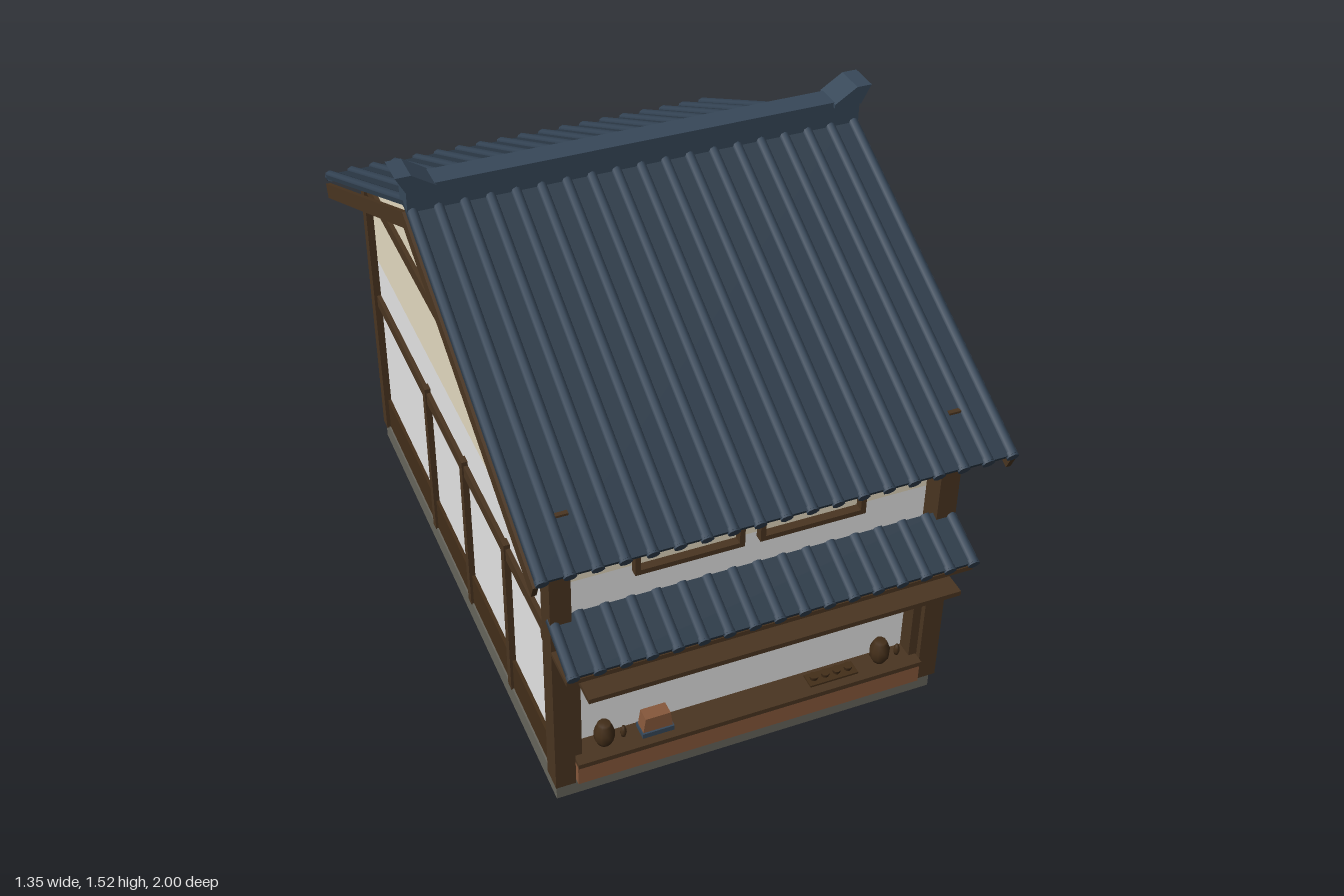
import * as THREE from 'three';

const mat = (name, color) => Object.assign(new THREE.MeshStandardMaterial({ color }), { name });

export function createModel() {
  const ridgeTile = mat('slate blue ridge tile', 0x374859);
  const rollTile = mat('slate blue roll tile', 0x354556);
  const sheetTile = mat('deep blue flat tile', 0x2d3b49);
  const wood = mat('brown timber', 0x4a3521);
  const darkWood = mat('dark timber', 0x432e19);
  const counterWood = mat('red brown wood', 0x87583b);
  const stone = mat('grey stone', 0x67655c);
  const cream = mat('cream plaster', 0xe4dac1);
  const white = mat('white plaster', 0xe5e5e5);
  const underGrey = mat('pale grey underside', 0xcccccc);
  const model = new THREE.Group();
  model.name = 'townhouse';

  const add = (name, geo, m, x = 0, y = 0, z = 0, parent = model) => {
    const mesh = new THREE.Mesh(geo, m);
    mesh.name = name;
    mesh.position.set(x, y, z);
    parent.add(mesh);
    return mesh;
  };
  // Box given by its minimum and maximum on each axis
  const box = (name, m, x0, x1, y0, y1, z0, z1, parent) =>
    add(name, new THREE.BoxGeometry(x1 - x0, y1 - y0, z1 - z0), m,
      (x0 + x1) / 2, (y0 + y1) / 2, (z0 + z1) / 2, parent);
  // Flat outline in x and y, extruded and centred along z
  const prism = (points, depth) => new THREE.ExtrudeGeometry(
    new THREE.Shape(points.map(p => new THREE.Vector2(...p))),
    { depth, bevelEnabled: false }).translate(0, 0, -depth / 2);

  // Foundation and plaster walls
  box('foundation', stone, -0.565, 0.565, 0.003, 0.068, -0.84, 0.84);
  box('underside', underGrey, -0.555, 0.555, 0, 0.006, -0.83, 0.83);
  box('lowerWall', white, -0.55, 0.55, 0.065, 0.73, -0.82, 0.79);
  const gable = [[-0.79, 0.73], [0.82, 0.73], [0.82, 1.015], [0, 1.408], [-0.79, 1.03]];
  add('upperWall', prism(gable, 1.1), cream).rotation.y = Math.PI / 2;
  box('shopTopStrip', cream, -0.49, 0.49, 0.527, 0.57, 0.788, 0.794);

  // Timber frame on both sides
  for (const s of [-1, 1]) {
    const side = new THREE.Group();
    side.name = s > 0 ? 'leftFrame' : 'rightFrame';
    model.add(side);
    const rail = (name, m, inner, outer, y0, y1, z0, z1) =>
      box(name, m, Math.min(s * inner, s * outer), Math.max(s * inner, s * outer), y0, y1, z0, z1, side);
    rail('frontPost', wood, 0.515, 0.572, 0.065, 1.022, 0.79, 0.858);
    rail('backPost', wood, 0.515, 0.572, 0.065, 1.022, -0.842, -0.80);
    rail('shopJamb', wood, 0.49, 0.515, 0.07, 0.58, 0.785, 0.84);
    rail('sideSkirting', darkWood, 0.54, 0.56, 0.065, 0.178, -0.81, 0.80);
    rail('middleBeam', wood, 0.54, 0.563, 0.557, 0.596, -0.81, 0.80);
    rail('upperBeam', wood, 0.54, 0.563, 0.973, 1.013, -0.81, 0.80);
    for (const z of [0.46, 0.09, -0.27]) rail('stud', wood, 0.54, 0.568, 0.065, 0.61, z - 0.014, z + 0.014);
    // Bargeboards under the roof edge
    const barge = [[0, 1.395], [-0.978, 0.928], [-0.96, 0.887], [0, 1.347], [0.96, 0.887], [0.978, 0.928]];
    add('bargeboard', prism(barge, 0.014), wood, s * 0.643, 0, 0, side).rotation.y = Math.PI / 2;
  }

  // Back timbers
  box('backSkirting', darkWood, -0.54, 0.54, 0.065, 0.178, -0.83, -0.81);
  box('backBeam', wood, -0.54, 0.54, 0.557, 0.596, -0.833, -0.81);
  box('backTopBeam', wood, -0.54, 0.54, 0.97, 1.01, -0.833, -0.81);

  // Front timbers
  box('frontLintel', wood, -0.572, 0.572, 0.56, 0.605, 0.78, 0.855);
  box('frontTopBeam', wood, -0.54, 0.54, 0.97, 1.01, 0.78, 0.83);

  // Upper window frames
  for (const [x0, x1] of [[-0.327, -0.024], [0.02, 0.323]]) {
    const t = 0.015, y0 = 0.715, y1 = 0.97;
    box('windowSill', wood, x0, x1, y0, y0 + t, 0.785, 0.815);
    box('windowHead', wood, x0, x1, y1 - t, y1, 0.785, 0.815);
    box('windowJamb', wood, x0, x0 + t, y0, y1, 0.785, 0.815);
    box('windowJamb', wood, x1 - t, x1, y0, y1, 0.785, 0.815);
  }

  // Sloping tiled surface running down towards +z
  const tiledSlope = (name, [z0, y0], [z1, y1], half, count, r) => {
    const slope = new THREE.Group();
    const len = Math.hypot(z1 - z0, y1 - y0);
    slope.name = name;
    slope.position.set(0, (y0 + y1) / 2, (z0 + z1) / 2);
    slope.rotation.x = Math.atan2(y0 - y1, z1 - z0);
    add('tileSheet', new THREE.BoxGeometry(half * 2, 0.012, len), sheetTile, 0, 0, 0, slope);
    const roll = new THREE.CylinderGeometry(r, r, len, 8).rotateX(Math.PI / 2);
    const cap = new THREE.CylinderGeometry(r * 1.15, r * 1.15, 0.014, 8).rotateX(Math.PI / 2);
    for (let i = 0; i < count; i++) {
      const x = -half + r + (2 * (half - r) * i) / (count - 1);
      add('tileRoll', roll, rollTile, x, 0.003, 0, slope);
      add('tileCap', cap, rollTile, x, 0, len / 2 - 0.002, slope);
    }
    return slope;
  };

  // Main roof, two mirrored slopes
  for (const turn of [0, Math.PI]) {
    const half = new THREE.Group();
    half.name = turn ? 'backRoof' : 'frontRoof';
    half.add(tiledSlope('roofSlope', [0, 1.422], [0.987, 0.947], 0.646, 19, 0.015));
    half.rotation.y = turn;
    model.add(half);
  }

  // Ridge with upswept end tiles
  box('ridge', ridgeTile, -0.645, 0.645, 1.41, 1.485, -0.036, 0.036);
  const horn = [[0.565, 1.472], [0.645, 1.472], [0.673, 1.525], [0.63, 1.525], [0.565, 1.483]];
  for (const turn of [0, Math.PI]) add('ridgeEnd', prism(horn, 0.092), ridgeTile).rotation.y = turn;

  // Awning above the shop opening, with its boarding
  model.add(tiledSlope('awning', [0.835, 0.667], [0.987, 0.603], 0.575, 17, 0.015));
  const boarding = [[-0.975, 0.585], [-0.84, 0.642], [-0.84, 0.658], [-0.975, 0.601]];
  add('awningBoarding', prism(boarding, 1.14), wood).rotation.y = Math.PI / 2;
  box('awningBoard', wood, -0.572, 0.572, 0.563, 0.577, 0.85, 0.97);
  box('awningShelf', wood, -0.525, 0.525, 0.512, 0.527, 0.85, 1.0);

  // Shop counter
  box('counterFront', counterWood, -0.512, 0.512, 0.068, 0.137, 0.78, 0.868);
  box('counterTop', wood, -0.512, 0.512, 0.135, 0.15, 0.78, 0.876);

  // Goods on the counter
  const lathe = pts => new THREE.LatheGeometry(pts.map(p => new THREE.Vector2(...p)), 10);
  const jar = lathe([[0, 0], [0.018, 0], [0.028, 0.02], [0.029, 0.045], [0.02, 0.068], [0.017, 0.074], [0, 0.074]]);
  const bottle = lathe([[0, 0], [0.006, 0], [0.009, 0.012], [0.008, 0.024], [0.004, 0.036], [0, 0.036]]);
  for (const x of [-0.42, 0.405]) {
    add('jar', jar, darkWood, x, 0.149, 0.823);
    add('smallBottle', bottle, darkWood, x + 0.055, 0.153, 0.823);
  }
  box('boxStand', ridgeTile, -0.32, -0.228, 0.149, 0.166, 0.802, 0.852);
  add('woodenBox', prism([[-0.043, 0], [0.043, 0], [0.036, 0.05], [-0.036, 0.05]], 0.04),
    counterWood, -0.274, 0.165, 0.827);
  box('tray', darkWood, 0.18, 0.327, 0.149, 0.156, 0.805, 0.85);
  for (let i = 0; i < 4; i++)
    add('cup', new THREE.CylinderGeometry(0.014, 0.01, 0.014, 8), darkWood, 0.2 + i * 0.035, 0.162, 0.827);

  return model;
}
